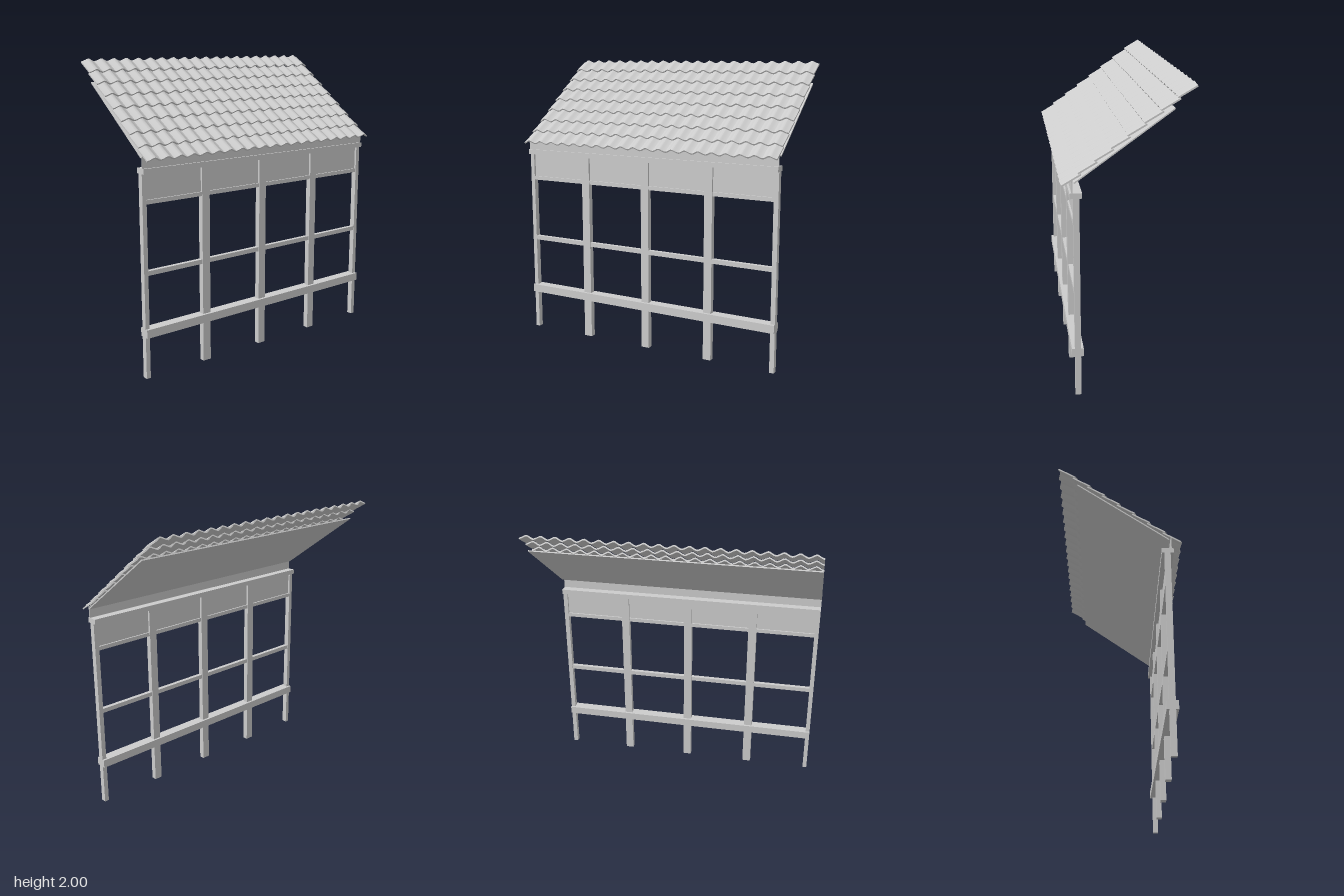
import * as THREE from 'three';
import { toCreasedNormals } from 'three/addons/utils/BufferGeometryUtils.js';

const material = new THREE.MeshStandardMaterial({ color: 0xcccccc });

// Box given by its limits on each axis
function box(parent, name, [x0, x1], [y0, y1], [z0, z1]) {
  const mesh = new THREE.Mesh(new THREE.BoxGeometry(x1 - x0, y1 - y0, z1 - z0), material);
  mesh.position.set((x0 + x1) / 2, (y0 + y1) / 2, (z0 + z1) / 2);
  mesh.name = name;
  parent.add(mesh);
  return mesh;
}

// Arched roof tile: a peaked shell with thickness, extruded along its length
function tileGeometry(width, length) {
  const rise = 0.021, thick = 0.01;
  const arch = [[-0.5, 0], [-0.36, 0.2], [-0.22, 0.55], [-0.1, 0.87], [0, 1],
    [0.1, 0.87], [0.22, 0.55], [0.36, 0.2], [0.5, 0]];
  const lower = arch.map(([x, y]) => new THREE.Vector2(x * width, y * rise));
  const upper = lower.map((p) => new THREE.Vector2(p.x, p.y + thick)).reverse();
  const geometry = new THREE.ExtrudeGeometry(new THREE.Shape([...lower, ...upper]),
    { depth: length, bevelEnabled: false });
  geometry.translate(0, 0, -length);
  return toCreasedNormals(geometry, 0.6);
}

export function createModel() {
  const model = new THREE.Group();
  model.name = 'tiledRoofFrame';
  const left = -0.97, right = 0.957;

  // Posts: narrow at the ends, wide in between
  const posts = [[left, -0.94], [-0.52, -0.46], [-0.036, 0.022], [0.445, 0.502], [0.925, right]];
  const frame = new THREE.Group();
  frame.name = 'frame';
  model.add(frame);
  posts.forEach((span) => box(frame, 'post', span, [0, 1.33], [0.287, 0.325]));

  // Rails and upper panels fill each bay
  for (let i = 0; i < posts.length - 1; i++) {
    const bay = [posts[i][1], posts[i + 1][0]];
    box(frame, 'middleRail', bay, [0.68, 0.71], [0.291, 0.321]);
    box(frame, 'upperRail', bay, [1.135, 1.162], [0.291, 0.321]);
    box(frame, 'upperPanel', bay, [1.16, 1.328], [0.302, 0.31]);
  }

  // Horizontal beams, the lower one in two lengths
  box(frame, 'lowerBeam', [left, -0.487], [0.277, 0.333], [0.271, 0.343]);
  box(frame, 'lowerBeam', [-0.487, right], [0.277, 0.333], [0.27, 0.344]);
  box(frame, 'topBeam', [left, right], [1.327, 1.361], [0.27, 0.345]);
  box(frame, 'fascia', [left, right], [1.36, 1.44], [0.327, 0.333]);

  // Sloping board under the tiles
  const board = box(model, 'roofBoard', [left, 0.966], [1.634, 1.642], [-0.339, 0.387]);
  board.rotation.x = 0.624;

  // Overlapping tiles, each row a step higher and further back
  const roof = new THREE.Group();
  roof.name = 'roofTiles';
  model.add(roof);
  const columns = 20, rows = 8, width = 1.935 / columns;
  const tile = tileGeometry(width, 0.13);
  for (let r = 0; r < rows; r++) {
    for (let c = 0; c < columns; c++) {
      const mesh = new THREE.Mesh(tile, material);
      mesh.name = 'roofTile';
      mesh.rotation.x = Math.PI / 6;
      mesh.position.set(left + (c + 0.5) * width, 1.407 + r * 0.0715, 0.388 - r * 0.0965);
      roof.add(mesh);
    }
  }
  return model;
}
